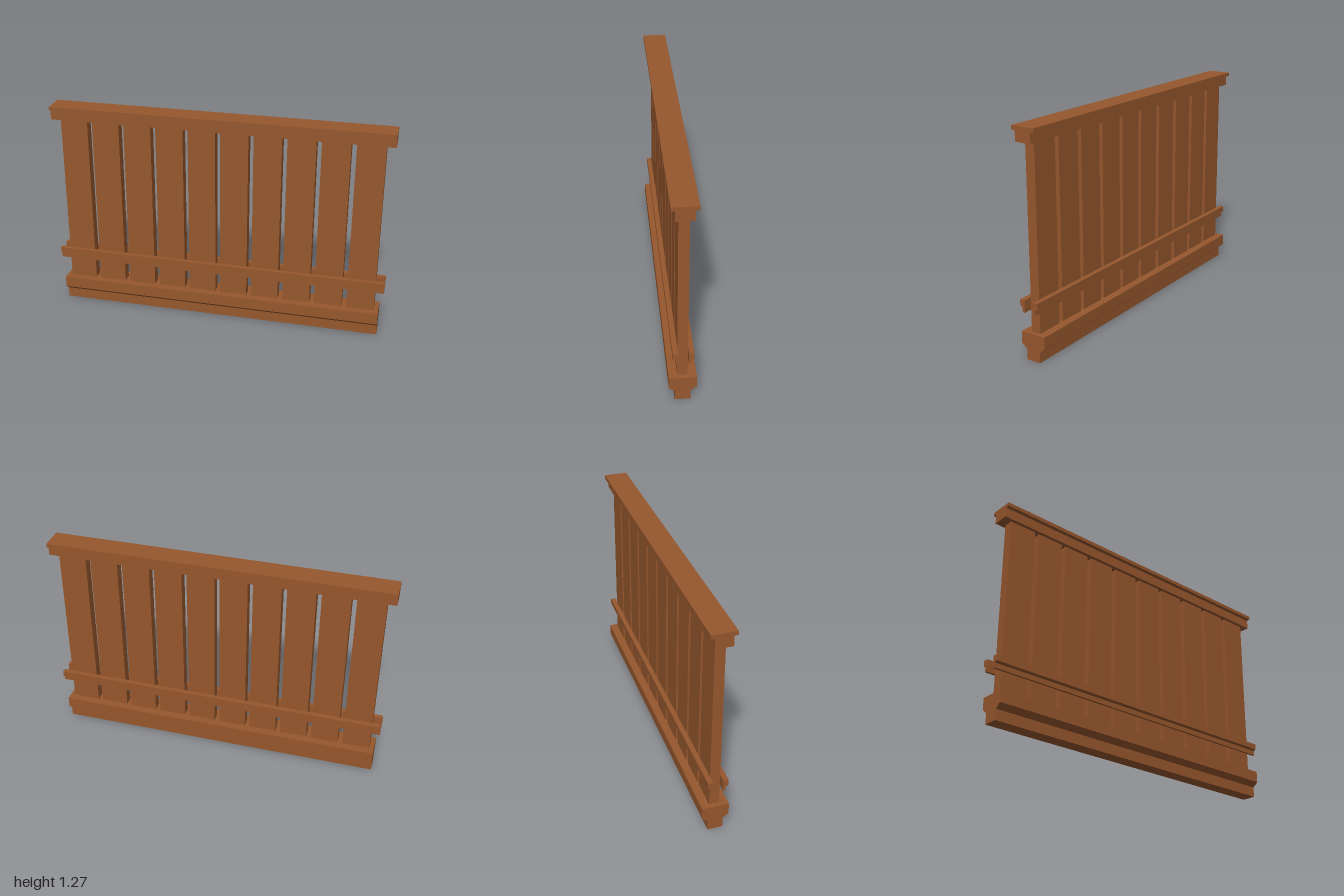
import * as THREE from 'three';

// Extrude a (z, y) cross-section along x, centred on x = 0
function molding(name, points, length, material) {
  const shape = new THREE.Shape(points.map(([z, y]) => new THREE.Vector2(z, y)));
  const geometry = new THREE.ExtrudeGeometry(shape, { depth: length, bevelEnabled: false });
  geometry.translate(0, 0, -length / 2);
  geometry.rotateY(-Math.PI / 2);
  const mesh = new THREE.Mesh(geometry, material);
  mesh.name = name;
  return mesh;
}

// Close a half profile into a symmetric one
const mirrored = (half) => [...half, ...half.map(([z, y]) => [-z, y]).reverse()];

export function createModel() {
  const group = new THREE.Group();
  group.name = 'railing';
  const wood = new THREE.MeshStandardMaterial({ color: 0x96572d });
  wood.name = 'brown wood';

  // Base beam with a sloped underside
  const base = mirrored([[0.043, 0], [0.043, 0.061], [0.076, 0.088], [0.076, 0.155]]);
  group.add(molding('baseBeam', base, 1.95, wood));

  // Handrail with an overhanging cap
  const top = mirrored([[0.049, 1.19], [0.049, 1.248], [0.07, 1.25], [0.07, 1.272]]);
  group.add(molding('handrail', top, 2, wood));

  // Stepped lower rails on both faces of the slats
  const rail = [[0.028, 0.28], [0.042, 0.28], [0.042, 0.308], [0.057, 0.316], [0.057, 0.35], [0.028, 0.35]];
  group.add(molding('frontLowerRail', rail, 2, wood));
  group.add(molding('backLowerRail', rail.map(([z, y]) => [-z, y]), 2, wood));

  // Ten evenly spaced vertical slats
  const slatGeometry = new THREE.BoxGeometry(0.163, 1.035, 0.057);
  for (let i = 0; i < 10; i++) {
    const slat = new THREE.Mesh(slatGeometry, wood);
    slat.name = `slat${i + 1}`;
    slat.position.set((i - 4.5) * 0.1926, 0.6725, 0);
    group.add(slat);
  }
  return group;
}
